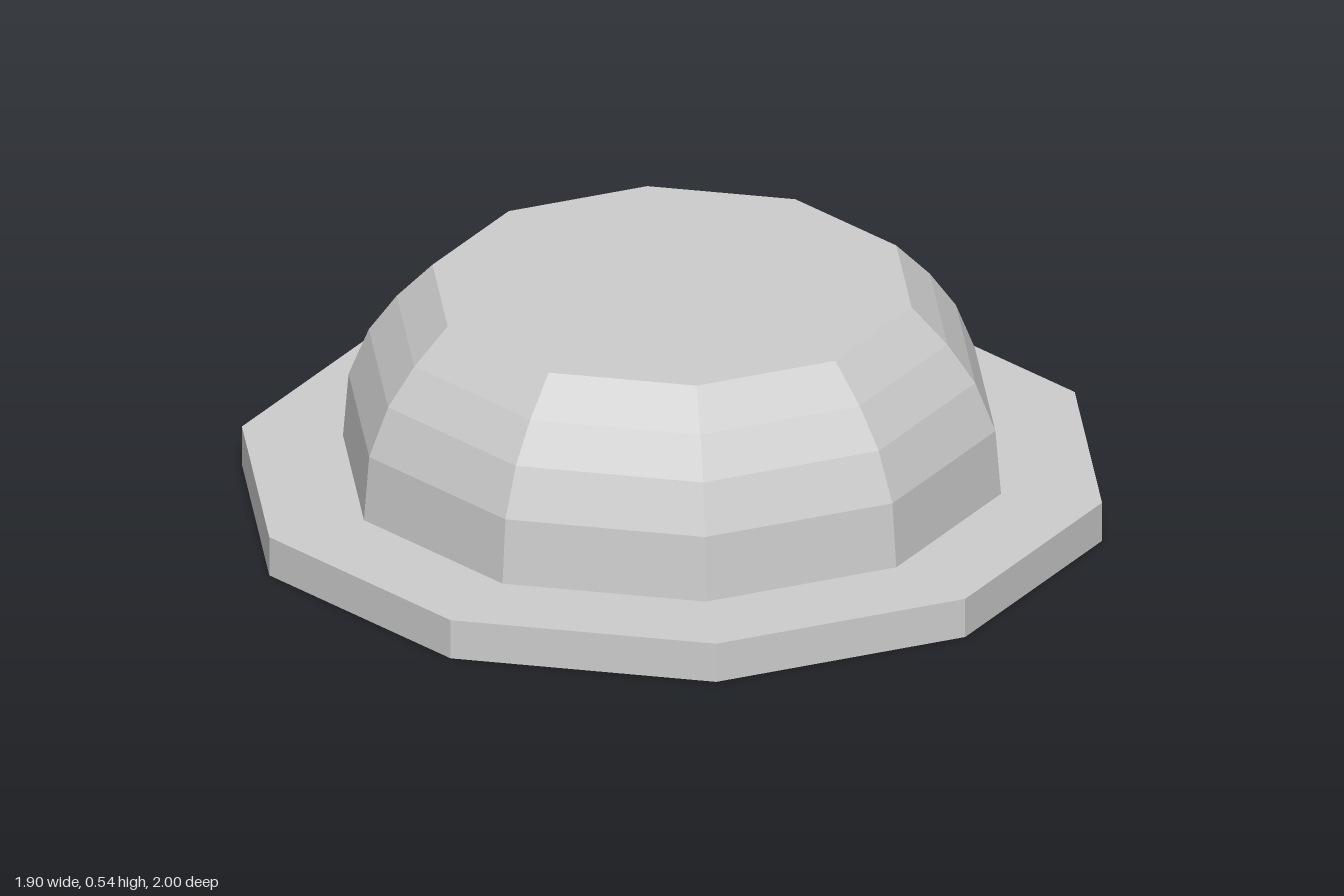
import * as THREE from 'three';

const SIDES = 10;

export function createModel() {
  const model = new THREE.Group();
  model.name = 'domedCap';

  const grey = new THREE.MeshStandardMaterial({ color: 0xcccccc, flatShading: true, side: THREE.DoubleSide });
  grey.name = 'light grey';

  // Ten-sided sheet turned from [radius, height] points, listed from the outside or bottom inward
  const addSheet = (name, profile) => {
    const points = profile.map(([r, y]) => new THREE.Vector2(r, y));
    const mesh = new THREE.Mesh(new THREE.LatheGeometry(points, SIDES), grey);
    mesh.name = name;
    model.add(mesh);
  };

  // Skirt and flat brim, open underneath
  addSheet('brimSkirt', [[1, 0], [1, 0.095]]);
  addSheet('brimTop', [[1, 0.095], [0.765, 0.095]]);

  // Hollow faceted dome and its flat top
  addSheet('dome', [[0.765, 0.095], [0.752, 0.25], [0.705, 0.365], [0.64, 0.455], [0.557, 0.54]]);
  addSheet('domeTop', [[0.557, 0.54], [0, 0.54]]);

  return model;
}
